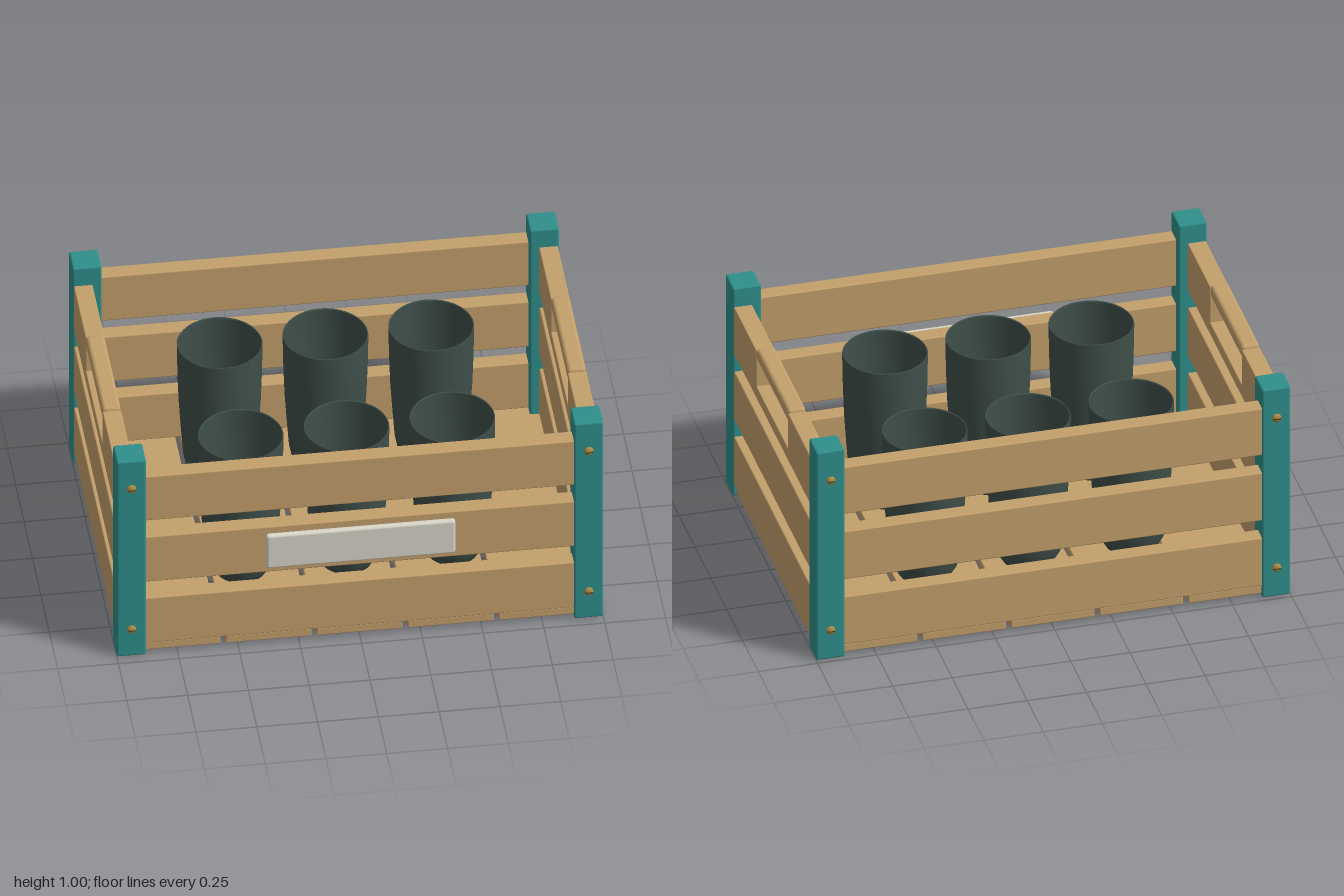
import * as THREE from 'three';
import { RoundedBoxGeometry } from 'three/addons/geometries/RoundedBoxGeometry.js';

const material = (color, extra = {}) => new THREE.MeshStandardMaterial({ color, ...extra });

export function createModel() {
  const model = new THREE.Group();
  const wood = material(0xc4a06c);
  const teal = material(0x2f8f8b);
  const cream = material(0xd9d6c9);
  const brass = material(0xa98a45);
  const potGreen = material(0x3f4f49, { side: THREE.DoubleSide });
  const midZ = -0.012; // centre of the crate frame

  // Softened box given by its extents on each axis
  function box(name, mat, [x0, x1], [y0, y1], [z0, z1], radius = 0.006, parent = model) {
    const geometry = new RoundedBoxGeometry(x1 - x0, y1 - y0, z1 - z0, 2, radius);
    const mesh = new THREE.Mesh(geometry, mat);
    mesh.name = name;
    mesh.position.set((x0 + x1) / 2, (y0 + y1) / 2, (z0 + z1) / 2);
    parent.add(mesh);
    return mesh;
  }

  // Corner posts, each with two screws on its outer face
  const screwProfile = [[0.019, -0.004], [0.019, 0.003], [0.015, 0.008], [0.008, 0.011], [0, 0.012]]
    .map(([r, y]) => new THREE.Vector2(r, y));
  const screwGeometry = new THREE.LatheGeometry(screwProfile, 20).rotateX(Math.PI / 2);
  for (const sx of [-1, 1]) {
    for (const sz of [-1, 1]) {
      const px = sx * 0.94;
      const pz = midZ + sz * 0.659;
      box('cornerPost', teal, [px - 0.06, px + 0.06], [0.005, 1], [pz - 0.06, pz + 0.06], 0.009);
      for (const y of [0.143, 0.86]) {
        const screw = new THREE.Group();
        screw.name = 'screw';
        const head = new THREE.Mesh(screwGeometry, brass);
        head.name = 'screwHead';
        const slot = new THREE.Mesh(new THREE.BoxGeometry(0.03, 0.004, 0.004), material(0x4a3b1c));
        slot.name = 'screwSlot';
        slot.position.z = 0.011;
        screw.add(head, slot);
        screw.position.set(px, y, pz + sz * 0.062);
        if (sz < 0) screw.rotation.y = Math.PI;
        model.add(screw);
      }
    }
  }

  // Long slats, front and back
  const rows = [[0.06, 0.29], [0.372, 0.602], [0.685, 0.91]];
  for (const row of rows) {
    box('frontSlat', wood, [-0.9, 0.9], row, [0.631, 0.701]);
    box('backSlat', wood, [-0.9, 0.9], row, [-0.726, -0.656]);
  }

  // End slats; the top one is cut out around a rounded handle
  for (const sx of [-1, 1]) {
    const xs = sx > 0 ? [0.918, 0.995] : [-0.995, -0.918];
    const [back, front] = [-0.262, 0.238];
    for (const row of rows.slice(0, 2)) box('endSlat', wood, xs, row, [-0.63, 0.606]);
    const end = new THREE.Group();
    end.name = 'handleEnd';
    box('handleBlock', wood, xs, rows[2], [front, 0.606], 0.004, end);
    box('handleBlock', wood, xs, rows[2], [-0.63, back], 0.004, end);
    box('lowerRail', wood, xs, [0.685, 0.74], [back - 0.003, front + 0.003], 0.004, end);
    box('handleBar', wood, xs, [0.867, 0.924], [back, front], 0.016, end);
    model.add(end);
  }

  // Floor boards
  const boards = [[-0.985, -0.571], [-0.551, -0.197], [-0.177, 0.177], [0.197, 0.551], [0.571, 0.985]];
  for (const xs of boards) box('floorBoard', wood, xs, [0.021, 0.061], [-0.72, 0.695]);

  // Six pots with tapered bases whose tips pass through the floor
  const potProfile = [
    [0, 0.005], [0.06, 0.06], [0.105, 0.1], [0.135, 0.15], [0.15, 0.23], [0.158, 0.34],
    [0.167, 0.48], [0.172, 0.62], [0.175, 0.775], [0.172, 0.78], [0.169, 0.775],
  ].map(([r, y]) => new THREE.Vector2(r, y));
  const potGeometry = new THREE.LatheGeometry(potProfile, 48);
  for (const x of [-0.435, 0, 0.435]) {
    for (const z of [0.3, -0.325]) {
      const pot = new THREE.Mesh(potGeometry, potGreen);
      pot.name = 'pot';
      pot.position.set(x, 0, z);
      model.add(pot);
    }
  }

  // Plain name plate on the front
  box('namePlate', cream, [-0.39, 0.388], [0.418, 0.586], [0.715, 0.743], 0.012);

  return model;
}
